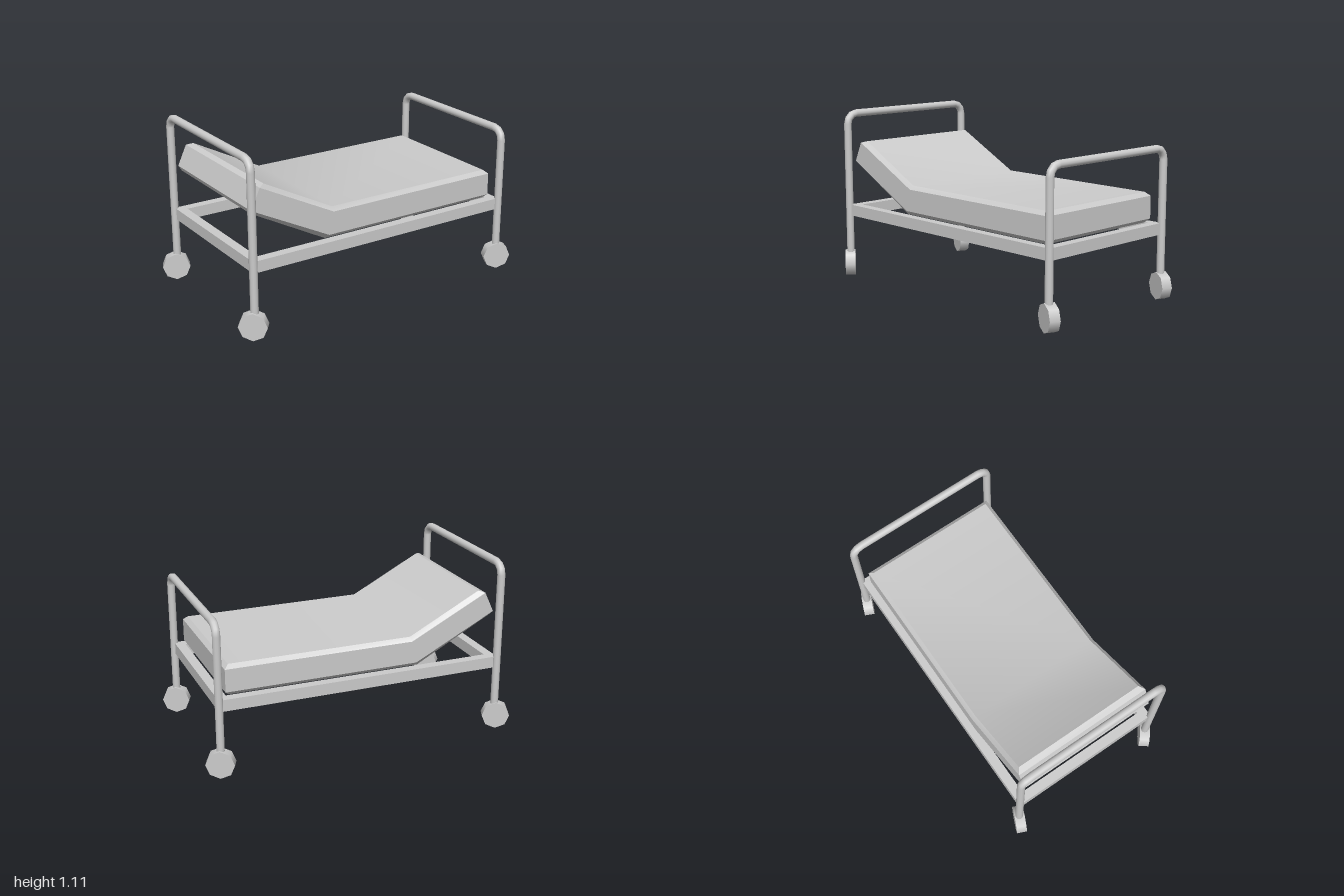
import * as THREE from 'three';
import { toCreasedNormals } from 'three/addons/utils/BufferGeometryUtils.js';

const material = new THREE.MeshStandardMaterial({ color: 0xcccccc });
const openMaterial = new THREE.MeshStandardMaterial({ color: 0xcccccc, side: THREE.DoubleSide });

const POST_X = 0.905, POST_Z = 0.5, TUBE_R = 0.0245;

function add(parent, name, geometry, mat) {
  const mesh = new THREE.Mesh(geometry, mat);
  mesh.name = name;
  parent.add(mesh);
  return mesh;
}

// Bent tube: post, rounded corner, top bar, rounded corner, post
function endRailGeometry(x, barY) {
  const bend = 0.067, steps = 3, points = [], tangents = [];
  const put = (y, z, ty, tz) => {
    points.push(new THREE.Vector3(x, y, z));
    tangents.push(new THREE.Vector3(0, ty, tz).normalize());
  };
  put(0.153, POST_Z, 1, 0);
  for (const side of [1, -1]) {
    for (let i = 0; i <= steps; i++) {
      const a = (i / steps) * Math.PI / 2 + (side < 0 ? Math.PI / 2 : 0);
      put(barY - bend + bend * Math.sin(a), side * (POST_Z - bend) + bend * Math.cos(a),
        Math.cos(a), -Math.sin(a));
    }
  }
  put(0.153, -POST_Z, -1, 0);
  const curve = new THREE.Curve();
  const last = points.length - 1;
  curve.getPointAt = (u, target = new THREE.Vector3()) => target.copy(points[Math.round(u * last)]);
  curve.getTangentAt = (u, target = new THREE.Vector3()) => target.copy(tangents[Math.round(u * last)]);
  return new THREE.TubeGeometry(curve, last, TUBE_R, 12, false);
}

// Two triangles for one four-cornered face
function quad(positions, a, b, c, d) {
  positions.push(...a, ...b, ...c, ...a, ...c, ...d);
}

// Walls joining each closed loop of points to the next
function joinLoops(loops) {
  const positions = [], n = loops[0].length;
  for (let k = 0; k < loops.length - 1; k++) {
    for (let i = 0; i < n; i++) {
      const j = (i + 1) % n;
      quad(positions, loops[k][i], loops[k][j], loops[k + 1][j], loops[k + 1][i]);
    }
  }
  return positions;
}

function creased(positions) {
  const geometry = new THREE.BufferGeometry();
  geometry.setAttribute('position', new THREE.Float32BufferAttribute(positions, 3));
  return toCreasedNormals(geometry, 0.6);
}

// Mattress shell, open below: layers of head, fold and foot points with bevelled edges
function mattressGeometry() {
  const layers = [
    { z: 0.432, pts: [[-0.874, 0.743], [-0.382, 0.48], [0.823, 0.48]] },
    { z: 0.457, pts: [[-0.885, 0.77], [-0.366, 0.505], [0.85, 0.505]] },
    { z: 0.457, pts: [[-0.826, 0.896], [-0.334, 0.646], [0.85, 0.646]] },
    { z: 0.432, pts: [[-0.788, 0.907], [-0.33, 0.67], [0.823, 0.67]] },
  ];
  const loops = layers.map(({ z, pts }) => [
    ...pts.map(([x, y]) => [x, y, z]),
    ...[...pts].reverse().map(([x, y]) => [x, y, -z]),
  ]);
  const positions = joinLoops(loops);
  const top = loops[3];
  for (const i of [0, 1]) quad(positions, top[i], top[i + 1], top[4 - i], top[5 - i]);
  return creased(positions);
}

// Rectangular ring of channel bars, open below
function frameGeometry() {
  const bar = 0.06, low = 0.408, high = 0.48;
  const loop = (inset, y) => {
    const x = POST_X - inset, z = POST_Z - inset;
    return [[-x, y, z], [x, y, z], [x, y, -z], [-x, y, -z]];
  };
  return creased(joinLoops([loop(0, low), loop(0, high), loop(bar, high), loop(bar, low)]));
}

export function createModel() {
  const model = new THREE.Group();
  model.name = 'wheeledBed';

  // Bed body: end rails, frame and mattress with raised head
  const body = new THREE.Group();
  body.name = 'bedBody';
  body.position.set(0.003, 0, -0.004);
  add(body, 'headRail', endRailGeometry(-POST_X, 1.082), openMaterial);
  add(body, 'footRail', endRailGeometry(POST_X, 0.941), openMaterial);
  add(body, 'bedFrame', frameGeometry(), openMaterial);
  add(body, 'mattress', mattressGeometry(), openMaterial);
  model.add(body);

  // Swivelled eight-sided wheels, one turned further than the rest
  const wheelGeometry = new THREE.CylinderGeometry(0.087, 0.087, 0.065, 8).rotateX(Math.PI / 2);
  for (const sx of [1, -1]) {
    for (const sz of [1, -1]) {
      const name = `${sz > 0 ? 'front' : 'back'}${sx > 0 ? 'Foot' : 'Head'}Wheel`;
      const wheel = add(model, name, wheelGeometry, material);
      wheel.position.set(sx * 0.91, 0.087, sz > 0 ? 0.494 : -0.506);
      wheel.rotation.y = -THREE.MathUtils.degToRad(sx < 0 && sz > 0 ? 38 : 24);
    }
  }
  return model;
}
